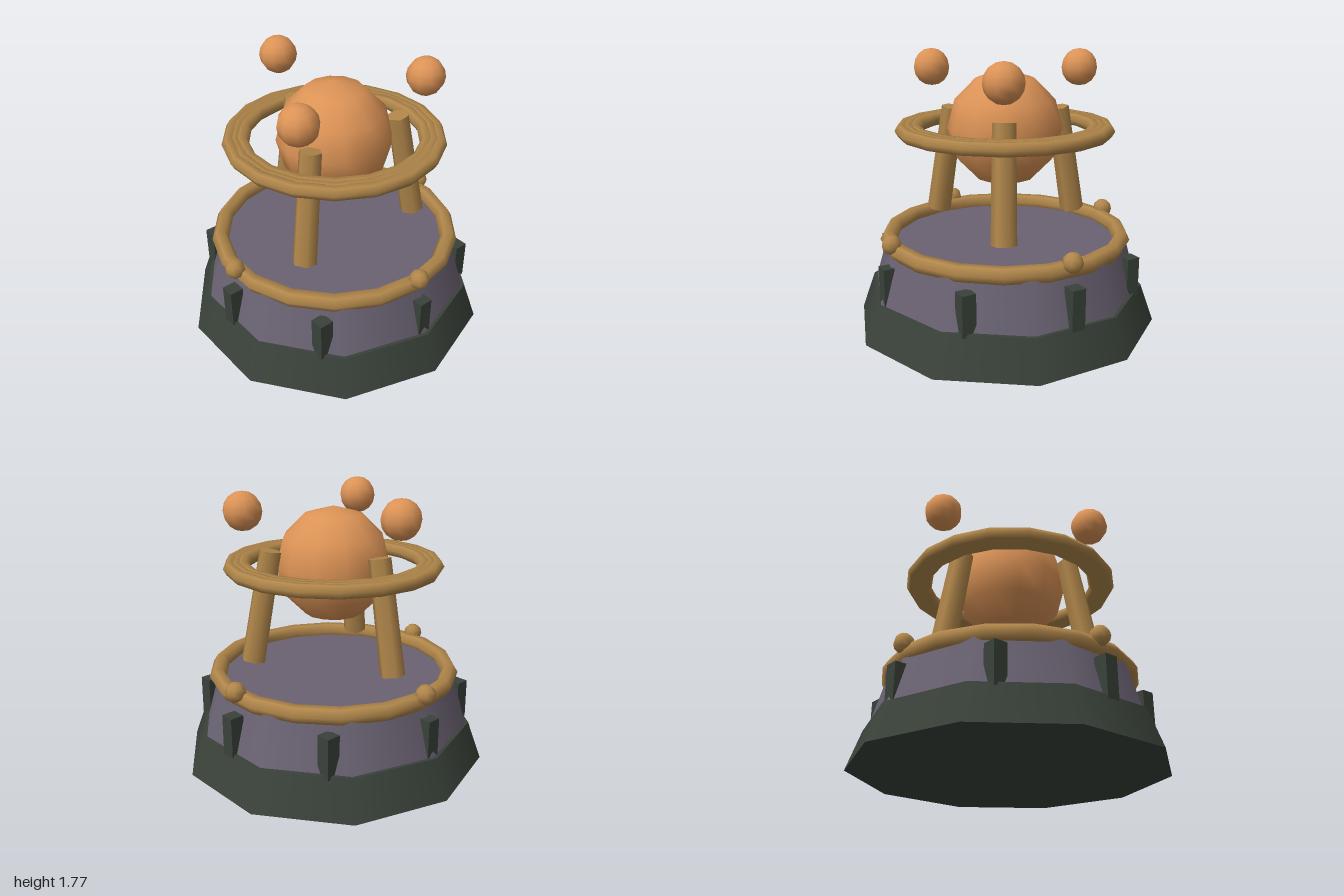
import * as THREE from 'three';

const mat = (name, color) => {
  const m = new THREE.MeshStandardMaterial({ color });
  m.name = name;
  return m;
};

export function createModel() {
  const model = new THREE.Group();
  const darkGreen = mat('darkGreen', 0x3a423a);
  const purple = mat('dustyPurple', 0x6a6272);
  const gold = mat('oldGold', 0xb0864a);
  const copper = mat('copper', 0xdc9356);

  const add = (name, geometry, material, x = 0, y = 0, z = 0, parent = model) => {
    const mesh = new THREE.Mesh(geometry, material);
    mesh.name = name;
    mesh.position.set(x, y, z);
    parent.add(mesh);
    return mesh;
  };

  // Horizontal ring with a hexagonal tube and a corner facing the front
  const ring = (radius, tube) =>
    new THREE.TorusGeometry(radius, tube, 6, 18).rotateX(Math.PI / 2).rotateY(Math.PI / 2);

  // Ten-sided plinth and drum
  add('plinth', new THREE.CylinderGeometry(0.91, 1, 0.25, 10), darkGreen, 0, 0.125, 0);
  add('drum', new THREE.CylinderGeometry(0.8, 0.888, 0.3, 10), purple, 0, 0.4, 0);

  // Eight square blocks around the drum, all aligned with the axes
  const block = new THREE.BoxGeometry(0.09, 0.26, 0.09);
  for (let i = 0; i < 8; i++) {
    const a = (i * Math.PI) / 4;
    add('drumBlock', block, darkGreen, Math.sin(a) * 0.832, 0.36, Math.cos(a) * 0.832);
  }

  // Rim ring with four beads
  add('rimRing', ring(0.768, 0.055), gold, 0, 0.58, 0);
  const bead = new THREE.SphereGeometry(0.064, 8, 6);
  for (let i = 0; i < 4; i++) {
    const a = (i * Math.PI) / 2;
    add('rimBead', bead, gold, Math.sin(a) * 0.802, 0.632, Math.cos(a) * 0.802);
  }

  // Three leaning hexagonal posts, each with a floating ball beyond it
  const post = new THREE.CylinderGeometry(0.072, 0.08, 0.73, 6).rotateY(Math.PI / 6);
  const ball = new THREE.SphereGeometry(0.123, 10, 8);
  for (let i = 0; i < 3; i++) {
    const arm = new THREE.Group();
    arm.name = 'postAndBall';
    arm.rotation.y = Math.PI / 3 + (i * Math.PI * 2) / 3;
    add('post', post, gold, 0, 1.035, 0.47, arm).rotation.x = -0.178;
    add('floatingBall', ball, copper, 0, 1.65, 0.57, arm);
    model.add(arm);
  }

  // Central sphere circled by three nested rings
  add('centralSphere', new THREE.SphereGeometry(0.372, 12, 6), copper, 0, 1.29, 0);
  for (const r of [0.58, 0.62, 0.66]) add('orbitRing', ring(r, 0.045), gold, 0, 1.29, 0);

  return model;
}
